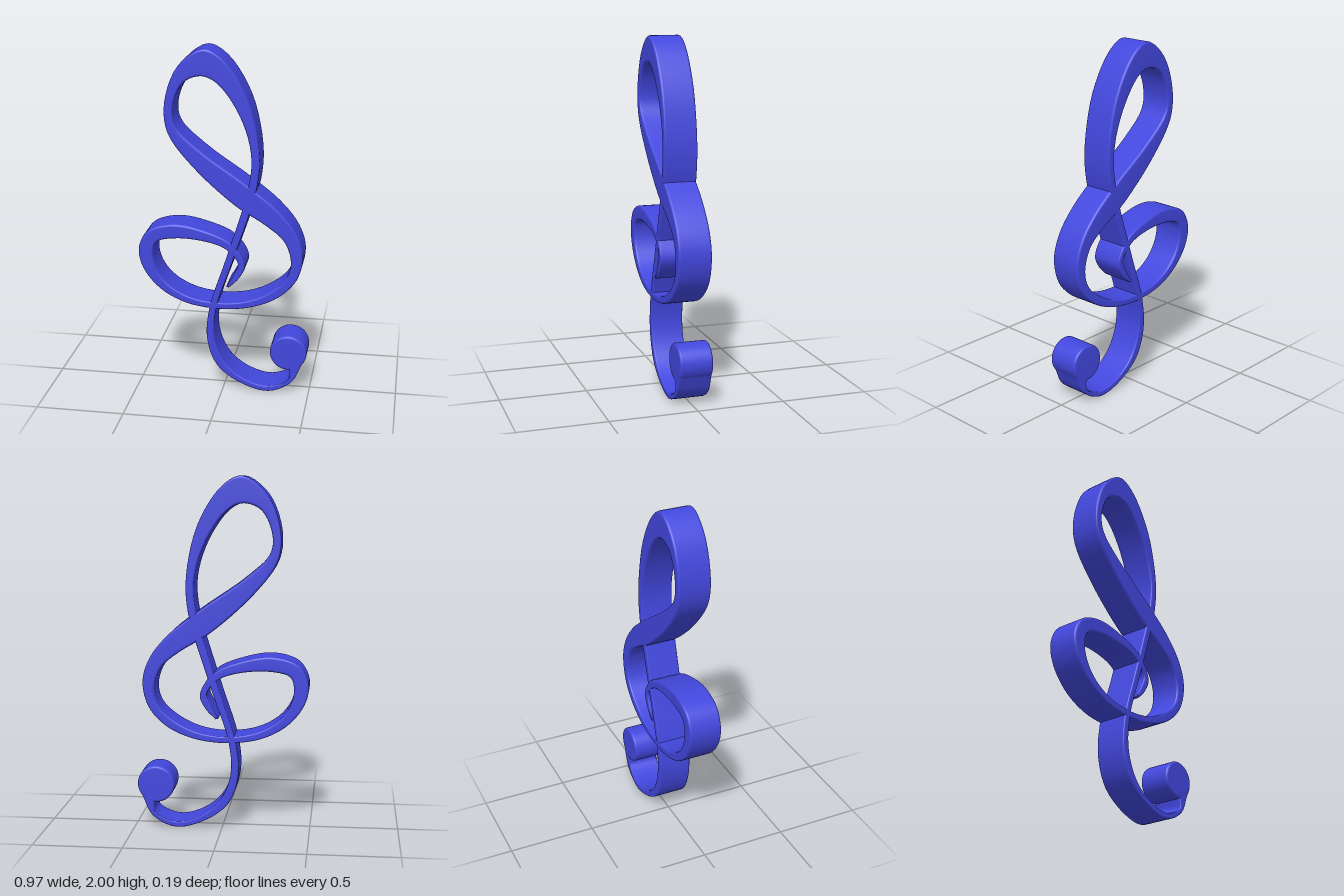
import * as THREE from 'three';

const HALF_DEPTH = 0.095;
const BEVEL = 0.014;

// Stroke outline, tip to tail: right-hand edge x, y, then left-hand edge x, y
const STROKE = [
  // scroll
  [0.035, 0.64, 0.02, 0.645], [0.09, 0.695, 0.06, 0.715], [0.125, 0.775, 0.085, 0.785],
  [0.05, 0.9, 0.02, 0.865], [-0.12, 0.975, -0.1, 0.905], [-0.29, 1.0, -0.28, 0.915],
  [-0.43, 0.955, -0.385, 0.885], [-0.487, 0.85, -0.405, 0.81], [-0.465, 0.73, -0.38, 0.715],
  [-0.37, 0.61, -0.31, 0.63], [-0.22, 0.53, -0.19, 0.565], [-0.02, 0.503, -0.02, 0.54],
  // belly
  [0.17, 0.527, 0.14, 0.562], [0.32, 0.595, 0.27, 0.625], [0.42, 0.705, 0.36, 0.71],
  [0.452, 0.85, 0.385, 0.81], [0.41, 0.985, 0.345, 0.93], [0.3, 1.12, 0.24, 1.02],
  [0.13, 1.255, 0.07, 1.125],
  // upper loop
  [-0.12, 1.43, -0.18, 1.35], [-0.265, 1.57, -0.31, 1.53], [-0.28, 1.67, -0.325, 1.7],
  [-0.22, 1.81, -0.25, 1.9], [-0.12, 1.85, -0.11, 2.0], [-0.03, 1.81, 0.0, 1.945],
  [0.09, 1.64, 0.135, 1.735], [0.155, 1.43, 0.2, 1.45], [0.145, 1.25, 0.19, 1.24],
  // stem and tail
  [0.02, 0.82, 0.06, 0.81], [-0.08, 0.5, -0.04, 0.5], [-0.092, 0.3, -0.048, 0.31],
  [-0.03, 0.14, 0.02, 0.155], [0.12, 0.037, 0.14, 0.065], [0.27, 0.005, 0.27, 0.037],
  [0.4, 0.07, 0.385, 0.09], [0.462, 0.19, 0.385, 0.155],
];

// Rounded corner points, counter-clockwise, for a box of half size w by d
function roundedSection(w, d, r) {
  const pts = [];
  const steps = 3;
  [[1, -1], [1, 1], [-1, 1], [-1, -1]].forEach(([sx, sz], k) => {
    for (let s = 0; s <= steps; s++) {
      const a = (k - 1 + s / steps) * Math.PI / 2;
      pts.push([sx * (w - r) + r * Math.cos(a), sz * (d - r) + r * Math.sin(a)]);
    }
  });
  return pts;
}

// Sweeps the rounded section between the two edge curves
function ribbonGeometry() {
  const edge = (o) => new THREE.CatmullRomCurve3(STROKE.map((p) => new THREE.Vector3(p[o], p[o + 1], 0)));
  const right = edge(0), left = edge(2);
  const rings = (STROKE.length - 1) * 5;
  const pos = [], index = [];
  let m = 0;
  for (let i = 0; i <= rings; i++) {
    const a = right.getPoint(i / rings), b = left.getPoint(i / rings);
    const mid = a.clone().add(b).multiplyScalar(0.5);
    const across = a.clone().sub(b);
    const w = across.length() / 2;
    across.normalize();
    const section = roundedSection(w, HALF_DEPTH, Math.min(BEVEL, w * 0.4));
    m = section.length;
    for (const [r, z] of section) pos.push(mid.x + across.x * r, mid.y + across.y * r, z);
  }
  for (let i = 0; i < rings; i++) {
    for (let j = 0; j < m; j++) {
      const k = (j + 1) % m;
      const p = i * m + j, q = i * m + k;
      index.push(p, p + m, q + m, p, q + m, q);
    }
  }
  // cap at the scroll tip; the other end is buried in the ball
  for (let j = 1; j < m - 1; j++) index.push(0, j, j + 1);
  const geo = new THREE.BufferGeometry();
  geo.setAttribute('position', new THREE.Float32BufferAttribute(pos, 3));
  geo.setIndex(index);
  geo.computeVertexNormals();
  return geo;
}

// Round disc with softened rims, axis along z
function discGeometry(radius) {
  const half = roundedSection(radius, HALF_DEPTH, BEVEL).filter(([r]) => r > 0);
  const profile = [[0, -HALF_DEPTH], ...half, [0, HALF_DEPTH]].map(([r, z]) => new THREE.Vector2(r, z));
  return new THREE.LatheGeometry(profile, 48).rotateX(Math.PI / 2);
}

export function createModel() {
  const group = new THREE.Group();
  group.name = 'trebleClef';
  const blue = new THREE.MeshStandardMaterial({ color: 0x4247dd });

  const ribbon = new THREE.Mesh(ribbonGeometry(), blue);
  ribbon.name = 'clefStroke';

  const ball = new THREE.Mesh(discGeometry(0.106), blue);
  ball.name = 'tailBall';
  ball.position.set(0.379, 0.253, 0);

  group.add(ribbon, ball);
  return group;
}
